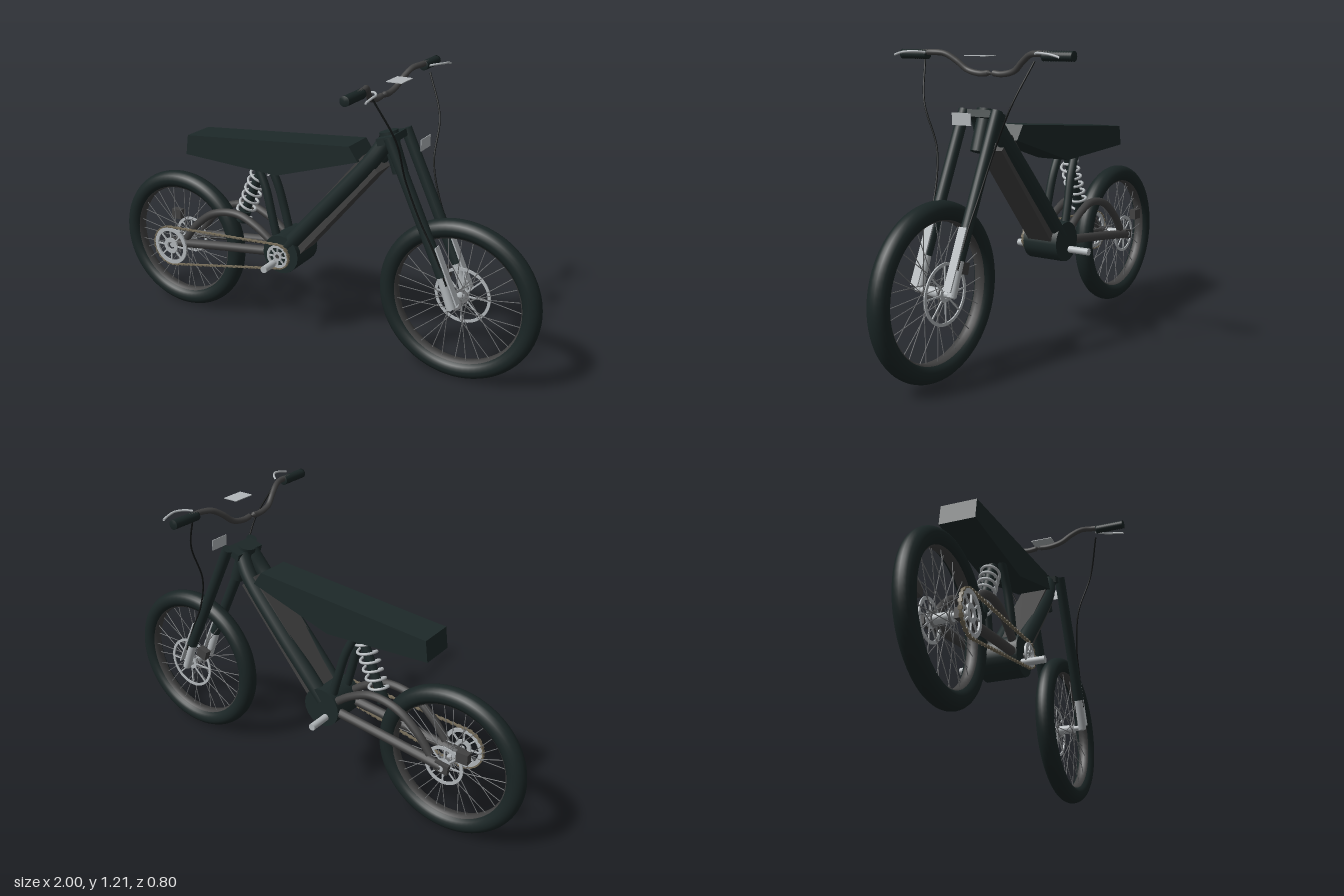
import * as THREE from 'three';
import { mergeGeometries } from 'three/addons/utils/BufferGeometryUtils.js';

const V = (x, y, z = 0) => new THREE.Vector3(x, y, z);
const mat = (name, color) => {
  const m = new THREE.MeshStandardMaterial({ color, side: THREE.DoubleSide });
  m.name = name;
  return m;
};

export function createModel() {
  const root = new THREE.Group();
  root.name = 'motorbike';
  const dark = mat('dark body paint', 0x1d2929);
  const rubber = mat('rubber', 0x1a2525);
  const grey = mat('charcoal metal', 0x414141);
  const steel = mat('spoke steel', 0x727476);
  const silver = mat('silver', 0xb2b7ba);
  const bronze = mat('chain bronze', 0x746b58);
  const black = mat('cable black', 0x131616);

  const add = (name, geo, m, parent = root) => {
    const mesh = new THREE.Mesh(geo, m);
    mesh.name = name;
    parent.add(mesh);
    return mesh;
  };
  // Cylinder between two points
  const rodGeo = (a, b, r, r2 = r, seg = 20) => {
    const d = b.clone().sub(a);
    const g = new THREE.CylinderGeometry(r2, r, d.length(), seg);
    g.applyQuaternion(new THREE.Quaternion().setFromUnitVectors(V(0, 1), d.normalize()));
    return g.translate((a.x + b.x) / 2, (a.y + b.y) / 2, (a.z + b.z) / 2);
  };
  const rod = (name, a, b, r, m, parent) => add(name, rodGeo(a, b, r), m, parent);
  const tube = (name, pts, r, m, seg = 40) =>
    add(name, new THREE.TubeGeometry(new THREE.CatmullRomCurve3(pts), seg, r, 12), m);
  const box = (name, size, pos, m, angle = 0) => {
    const b = add(name, new THREE.BoxGeometry(...size), m);
    b.position.set(...pos);
    b.rotation.z = angle;
    return b;
  };
  // Flat ring with radial arms, facing z
  const ringPlate = (name, r, inner, hub, arms, depth, x, y, z, m) => {
    const parts = [];
    for (const [o, i] of [[r, inner], [hub, hub * 0.5]]) {
      const s = new THREE.Shape().absarc(0, 0, o, 0, Math.PI * 2);
      s.holes.push(new THREE.Path().absarc(0, 0, i, 0, Math.PI * 2, true));
      parts.push(new THREE.ExtrudeGeometry(s, { depth, bevelEnabled: false, curveSegments: 36 })
        .translate(0, 0, -depth / 2));
    }
    for (let k = 0; k < arms; k++) {
      const g = new THREE.BoxGeometry(inner - hub + 0.006, 0.006, depth * 0.8).toNonIndexed();
      parts.push(g.translate((inner + hub) / 2, 0, 0).rotateZ(k / arms * Math.PI * 2));
    }
    add(name, mergeGeometries(parts), m).position.set(x, y, z);
  };

  // Wheels: tyre, rim, hub and crossed spokes
  const wheel = (name, x, y, outer) => {
    const g = new THREE.Group();
    g.name = name;
    g.position.set(x, y, 0);
    root.add(g);
    const rt = 0.038, rimR = outer - 0.073;
    add('tyre', new THREE.TorusGeometry(outer - rt, rt, 20, 72).scale(1, 1, 1.08), rubber, g);
    add('rim', new THREE.LatheGeometry([[rimR + 0.012, -0.026], [rimR - 0.001, -0.02], [rimR - 0.004, 0],
      [rimR - 0.001, 0.02], [rimR + 0.012, 0.026]].map(p => new THREE.Vector2(...p)), 64)
      .rotateX(Math.PI / 2), grey, g);
    rod('hub', V(0, 0, -0.04), V(0, 0, 0.04), 0.02, silver, g);
    const spokes = [];
    for (let i = 0; i < 32; i++) {
      const a = i / 32 * Math.PI * 2, side = i % 2 ? 1 : -1, b = a + (i % 4 < 2 ? 1.2 : -1.2);
      spokes.push(rodGeo(V(0.026 * Math.cos(b), 0.026 * Math.sin(b), side * 0.034),
        V(rimR * Math.cos(a), rimR * Math.sin(a), side * 0.006), 0.0018, 0.0018, 5));
      if (i < 2) add('hubFlange', new THREE.CylinderGeometry(0.03, 0.03, 0.006, 24)
        .rotateX(Math.PI / 2).translate(0, 0, side * 0.034), steel, g);
    }
    add('spokes', mergeGeometries(spokes), steel, g);
  };
  const RX = -0.678, RY = 0.325, FX = 0.662, FY = 0.339, MX = -0.11, MY = 0.395;
  wheel('rearWheel', RX, RY, 0.323);
  wheel('frontWheel', FX, FY, 0.338);
  ringPlate('frontBrakeDisc', 0.118, 0.106, 0.03, 8, 0.005, FX, FY, -0.047, silver);
  ringPlate('rearBrakeDisc', 0.085, 0.072, 0.03, 8, 0.005, RX, RY, -0.05, silver);
  rod('frontAxle', V(FX, FY, -0.09), V(FX, FY, 0.09), 0.012, silver);
  rod('rearAxle', V(RX, RY, -0.08), V(RX, RY, 0.1), 0.012, silver);
  box('frontCaliper', [0.05, 0.045, 0.03], [0.575, 0.42, -0.055], grey, 0.3);
  box('rearCaliper', [0.05, 0.045, 0.03], [-0.765, 0.408, -0.064], grey);

  // Seat body: side profile extruded across
  const seat = new THREE.Shape([[-0.59, 0.763], [-0.13, 0.742], [0.245, 0.86], [0.205, 0.918], [-0.578, 0.85]]
    .map(p => new THREE.Vector2(...p)));
  add('seat', new THREE.ExtrudeGeometry(seat, { depth: 0.15, bevelEnabled: false }).translate(0, 0, -0.075), dark);

  // Battery, motor and head
  box('battery', [0.56, 0.09, 0.116], [0.11, 0.64, 0], grey, 0.873);
  rod('motor', V(MX, MY, -0.083), V(MX, MY, 0.083), 0.085, dark);
  rod('headTube', V(0.395, 0.825), V(0.345, 0.965), 0.032, dark);
  rod('headCap', V(0.345, 0.962), V(0.339, 0.984), 0.038, dark);
  box('upperClamp', [0.07, 0.028, 0.15], [0.358, 0.962, 0], dark, 0.3);
  rod('footPegs', V(-0.133, 0.357, -0.18), V(-0.133, 0.357, 0.18), 0.015, silver);

  // Paired parts on both sides
  for (const s of [1, -1]) {
    tube('frameTube', [V(0.345, 0.95, s * 0.03), V(0.29, 0.865, s * 0.045), V(0.12, 0.668, s * 0.054),
      V(0, 0.533, s * 0.054), V(-0.1, 0.417, s * 0.052)], 0.034, dark);
    tube('seatStay', [V(-0.245, 0.76, s * 0.04), V(-0.2, 0.66, s * 0.045), V(-0.17, 0.55, s * 0.05),
      V(-0.14, 0.43, s * 0.05)], 0.018, dark);
    tube('swingarmLower', [V(RX, RY, s * 0.062), V(-0.42, 0.36, s * 0.062), V(-0.13, 0.395, s * 0.06)], 0.02, grey);
    tube('swingarmUpper', [V(-0.62, 0.36, s * 0.062), V(-0.56, 0.435, s * 0.062), V(-0.46, 0.508, s * 0.062),
      V(-0.34, 0.525, s * 0.06), V(-0.24, 0.485, s * 0.06), V(-0.15, 0.42, s * 0.06)], 0.017, grey);
    box('axleBlock', [0.06, 0.04, 0.02], [RX, RY, s * 0.066], grey, 0.1);

    // Fork leg with slider and guard
    rod('forkUpper', V(0.62, 0.46, s * 0.077), V(0.378, 0.982, s * 0.077), 0.023, dark);
    rod('forkSlider', V(0.664, 0.332, s * 0.077), V(0.6, 0.5, s * 0.077), 0.018, silver);
    box('forkGuard', [0.006, 0.24, 0.034], [0.641, 0.468, s * 0.077], silver, 0.42);

    // Handlebar half, grip, lever and cable
    tube('handlebar', [V(0.31, 1.12, s * 0.012), V(0.31, 1.117, s * 0.05), V(0.313, 1.13, s * 0.11),
      V(0.325, 1.165, s * 0.155), V(0.34, 1.192, s * 0.2), V(0.355, 1.197, s * 0.25),
      V(0.357, 1.19, s * 0.38)], 0.012, grey);
    add('barTip', rodGeo(V(0.31, 1.119), V(0.31, 1.12, s * 0.014), 0.004, 0.012), grey);
    const prof = [new THREE.Vector2(0, 0)];
    for (let i = 0; i <= 24; i++) prof.push(new THREE.Vector2(i % 2 ? 0.017 : 0.0195, i * 0.13 / 24));
    prof.push(new THREE.Vector2(0, 0.13));
    add('grip', new THREE.LatheGeometry(prof, 20).rotateX(s * Math.PI / 2), rubber)
      .position.set(0.357, 1.189, s * 0.27);
    tube('lever', [V(0.39, 1.196, s * 0.255), V(0.412, 1.2, s * 0.275), V(0.432, 1.2, s * 0.31),
      V(0.432, 1.196, s * 0.345), V(0.428, 1.187, s * 0.38)], 0.0045, silver);
    tube('cable', [V(0.393, 1.17, s * 0.255), V(0.465, 1.01, s * 0.202), V(0.478, 0.84, s * 0.133),
      V(0.53, 0.68, s * 0.103), V(0.585, 0.57, s * 0.095), V(0.645, 0.43, s * 0.09)], 0.0036, black);
  }

  // Display plate above the bar and lamp plate ahead of the forks
  box('displayPlate', [0.065, 0.003, 0.1], [0.378, 1.187, 0], silver);
  box('lampPlate', [0.003, 0.046, 0.088], [0.495, 0.958, 0], silver);

  // Rear shock with coil spring
  const top = V(-0.245, 0.745), low = V(-0.36, 0.475);
  rod('shockShaft', low, top, 0.02, dark);
  rod('shockBody', low, low.clone().lerp(top, 0.2), 0.026, dark);
  const axis = top.clone().sub(low).normalize(), side = V(axis.y, -axis.x);
  const coil = [];
  for (let i = 0; i <= 96; i++) {
    const a = i / 96 * Math.PI * 12;
    coil.push(low.clone().lerp(top, 0.14 + 0.78 * i / 96).addScaledVector(side, 0.038 * Math.cos(a))
      .add(V(0, 0, 0.038 * Math.sin(a))));
  }
  tube('shockSpring', coil, 0.0058, silver, 220);

  // Sprockets and chain
  const CZ = 0.106, r1 = 0.09, r2 = 0.054;
  ringPlate('rearSprocket', 0.087, 0.07, 0.036, 8, 0.008, RX, RY, CZ, silver);
  ringPlate('frontSprocket', 0.051, 0.04, 0.02, 8, 0.008, MX, MY, CZ, silver);
  rod('sprocketShaft', V(MX, MY, 0.08), V(MX, MY, CZ), 0.012, grey);
  const base = Math.atan2(MY - RY, MX - RX), a = Math.acos((r1 - r2) / Math.hypot(MX - RX, MY - RY));
  const path = new THREE.Path();
  path.absarc(RX, RY, r1, base + a, base - a + Math.PI * 2, false);
  path.absarc(MX, MY, r2, base - a, base + a, false);
  path.closePath();
  const pts = path.getSpacedPoints(120), links = [];
  for (let i = 0; i < 120; i++) {
    const p = pts[i], q = pts[i + 1];
    links.push(new THREE.BoxGeometry(p.distanceTo(q) * 1.05, 0.006, i % 2 ? 0.016 : 0.009)
      .rotateZ(Math.atan2(q.y - p.y, q.x - p.x)).translate((p.x + q.x) / 2, (p.y + q.y) / 2, CZ));
  }
  add('chain', mergeGeometries(links), bronze);
  return root;
}
